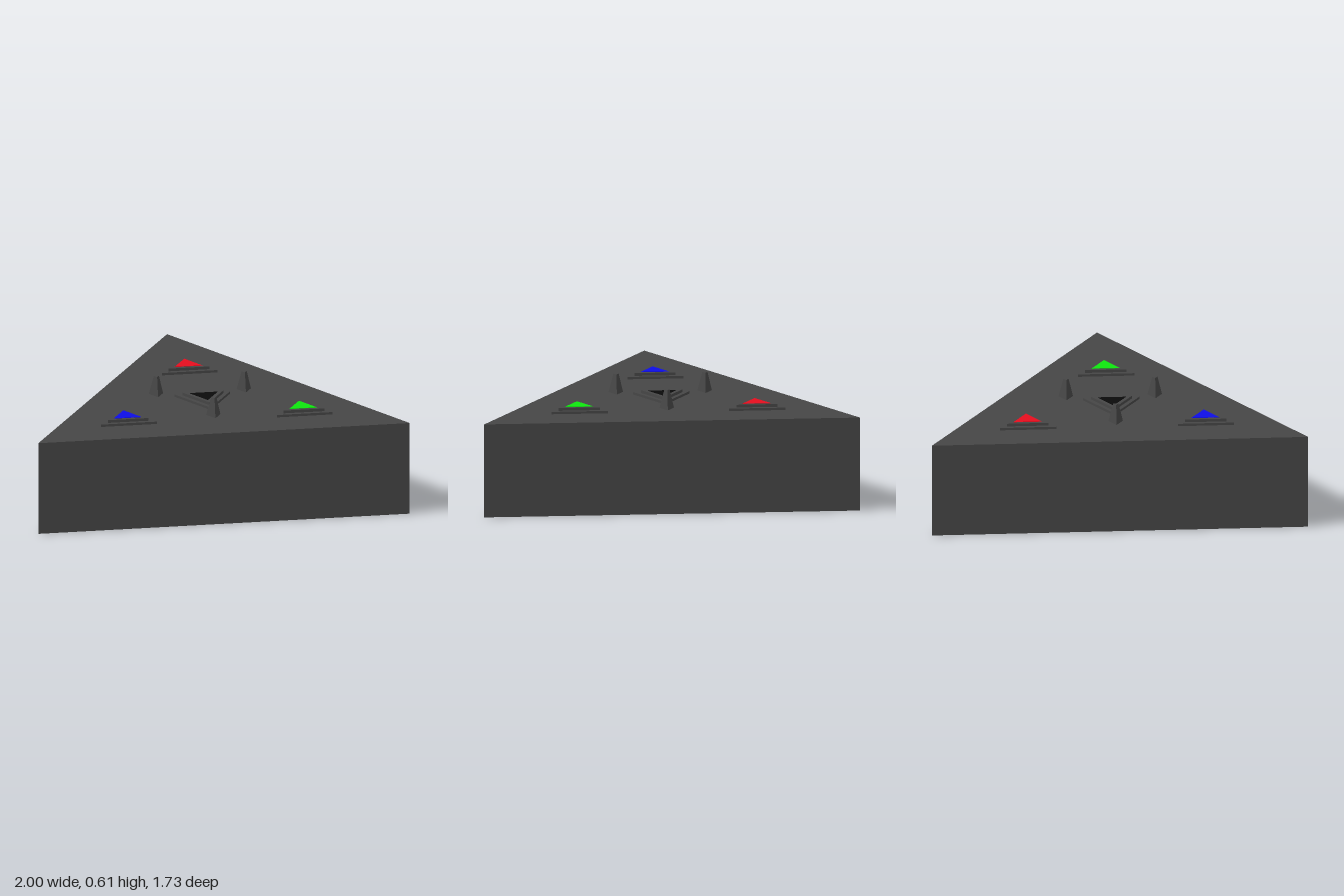
import * as THREE from 'three';

const CENTRE_Z = 0.289; // centroid of the triangular body
const TOP = 0.505;

const paint = (color) => new THREE.MeshStandardMaterial({ color, flatShading: true });

// Triangular prism or frustum standing on y; its point faces -z, or +z when flipped
function triangle(name, rTop, rBottom, y0, y1, material, flipped = false) {
  const geometry = new THREE.CylinderGeometry(rTop, rBottom, y1 - y0, 3);
  if (!flipped) geometry.rotateY(Math.PI);
  geometry.translate(0, (y0 + y1) / 2, 0);
  const mesh = new THREE.Mesh(geometry, material);
  mesh.name = name;
  return mesh;
}

// Place an object on a circle round the centroid; angle 0 points to -z
function place(object, radius, angle) {
  object.position.set(Math.sin(angle) * radius, 0, CENTRE_Z - Math.cos(angle) * radius);
  return object;
}

export function createModel() {
  const model = new THREE.Group();
  model.name = 'triangularConsole';
  const dark = paint(0x464646);
  const third = (Math.PI * 2) / 3;

  // Body
  model.add(place(triangle('body', 1.155, 1.155, 0, TOP, dark), 0, 0));

  // Stepped button with a coloured face
  function button(name, color, flipped) {
    const group = new THREE.Group();
    group.name = name;
    group.add(
      triangle('lowerStep', 0.173, 0.173, TOP - 0.01, 0.518, dark, flipped),
      triangle('upperStep', 0.127, 0.127, 0.51, 0.533, dark, flipped),
      triangle('colouredFace', 0.086, 0.086, 0.525, 0.535, paint(color), flipped)
    );
    return group;
  }

  // Three corner buttons and the inverted centre button
  const corners = [['redButton', 0xe60d1e], ['greenButton', 0x0de60d], ['blueButton', 0x0d0de6]];
  corners.forEach(([name, color], i) => model.add(place(button(name, color, false), 0.546, i * third)));
  model.add(place(button('centreButton', 0x0a0a0a, true), 0, 0));

  // Tapered pegs between the corner buttons
  for (let i = 0; i < 3; i++) {
    const peg = triangle('peg', 0.016, 0.046, TOP - 0.005, 0.608, dark, true);
    model.add(place(peg, 0.273, third / 2 + i * third));
  }

  return model;
}
